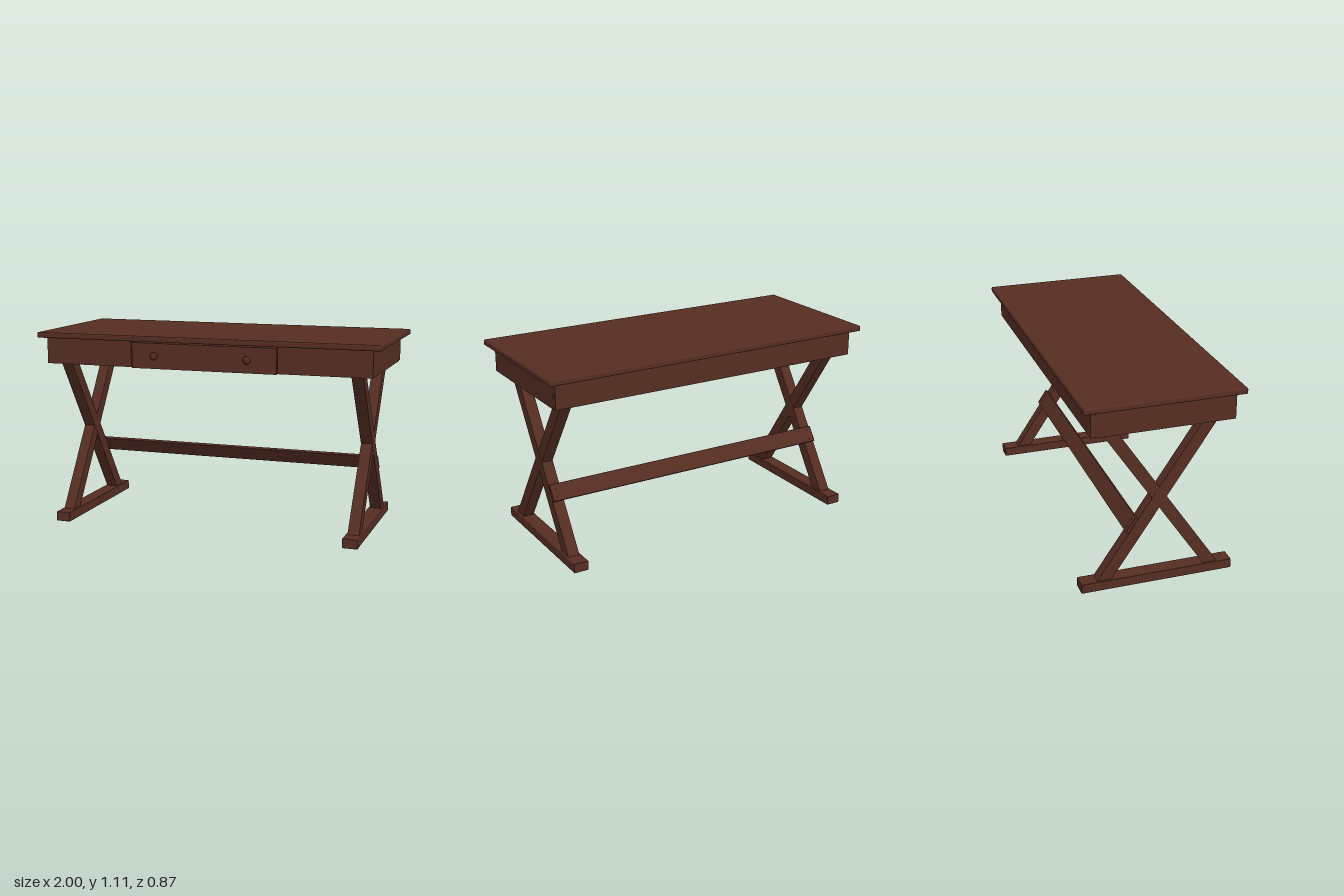
import * as THREE from 'three';
import { RoundedBoxGeometry } from 'three/addons/geometries/RoundedBoxGeometry.js';

export function createModel() {
  const desk = new THREE.Group();
  desk.name = 'desk';
  const wood = new THREE.MeshStandardMaterial({ color: 0x552d22 });
  wood.name = 'dark brown wood';

  const add = (name, geometry) => {
    const mesh = new THREE.Mesh(geometry, wood);
    mesh.name = name;
    desk.add(mesh);
    return mesh;
  };
  // Board given by its limits, optionally with eased edges
  const board = (name, x0, x1, y0, y1, z0, z1, ease = 0) => {
    const size = [x1 - x0, y1 - y0, z1 - z0];
    const geometry = ease ? new RoundedBoxGeometry(...size, 2, ease) : new THREE.BoxGeometry(...size);
    add(name, geometry).position.set((x0 + x1) / 2, (y0 + y1) / 2, (z0 + z1) / 2);
  };

  // Table top
  board('tableTop', -1, 1, 1.08, 1.112, -0.436, 0.436, 0.008);

  // Case around the drawer, with a narrow gap left for the drawer
  board('caseRight', -0.955, -0.431, 0.93, 1.08, -0.36, 0.395);
  board('caseLeft', 0.426, 0.95, 0.93, 1.08, -0.36, 0.395);
  board('caseBetween', -0.431, 0.426, 0.93, 1.08, -0.36, -0.3);
  board('caseBack', -0.955, 0.95, 0.932, 1.08, -0.39, -0.36, 0.003);
  board('drawerRail', -0.431, 0.426, 1.075, 1.08, -0.3, 0.385);

  // Drawer with two turned knobs
  board('drawerBody', -0.426, 0.421, 0.93, 1.07, -0.295, 0.375);
  board('drawerFront', -0.426, 0.421, 0.926, 1.07, 0.375, 0.397);
  const knobProfile = [
    [0, 0], [0.014, 0], [0.014, 0.004], [0.008, 0.008], [0.008, 0.016],
    [0.021, 0.022], [0.022, 0.026], [0.016, 0.032], [0.008, 0.0345], [0, 0.035],
  ].map(([r, h]) => new THREE.Vector2(r, h));
  for (const x of [-0.285, 0.26]) {
    const knob = add('drawerKnob', new THREE.LatheGeometry(knobProfile, 20).rotateX(Math.PI / 2));
    knob.position.set(x, 1.0, 0.396);
  }

  // Slanting leg with level ends: z centre at the bottom and at the top
  const leg = (name, x, zBottom, zTop, width) => {
    const half = 0.041;
    const outline = new THREE.Shape([
      new THREE.Vector2(zBottom - half, 0.05), new THREE.Vector2(zBottom + half, 0.05),
      new THREE.Vector2(zTop + half, 0.935), new THREE.Vector2(zTop - half, 0.935),
    ]);
    const geometry = new THREE.ExtrudeGeometry(outline, { depth: width, bevelEnabled: false });
    geometry.translate(0, 0, -width / 2).rotateY(-Math.PI / 2);
    add(name, geometry).position.x = x;
  };

  // Crossed legs and foot at each end
  for (const [side, x] of [['right', -0.867], ['left', 0.852]]) {
    leg(side + 'LegFrontToBack', x, -0.302, 0.292, 0.066);
    leg(side + 'LegBackToFront', x, 0.311, -0.283, 0.064);
    board(side + 'Foot', x - 0.043, x + 0.043, 0, 0.055, -0.43, 0.43, 0.004);
  }

  // Stretcher lying against the rear of the legs, with bolt heads
  const stretcher = new THREE.Group();
  stretcher.name = 'stretcher';
  const plank = new THREE.Mesh(new RoundedBoxGeometry(1.785, 0.098, 0.018, 2, 0.003), wood);
  plank.name = 'stretcherPlank';
  stretcher.add(plank);
  for (const x of [-0.86, 0.86]) {
    for (const y of [-0.025, 0.025]) {
      const bolt = new THREE.Mesh(new THREE.CylinderGeometry(0.007, 0.007, 0.003, 12), wood);
      bolt.name = 'stretcherBolt';
      bolt.rotation.x = Math.PI / 2;
      bolt.position.set(x, y, -0.01);
      stretcher.add(bolt);
    }
  }
  stretcher.position.set(-0.0075, 0.361, -0.146);
  stretcher.rotation.x = Math.atan2(0.594, 0.885);
  desk.add(stretcher);

  return desk;
}
